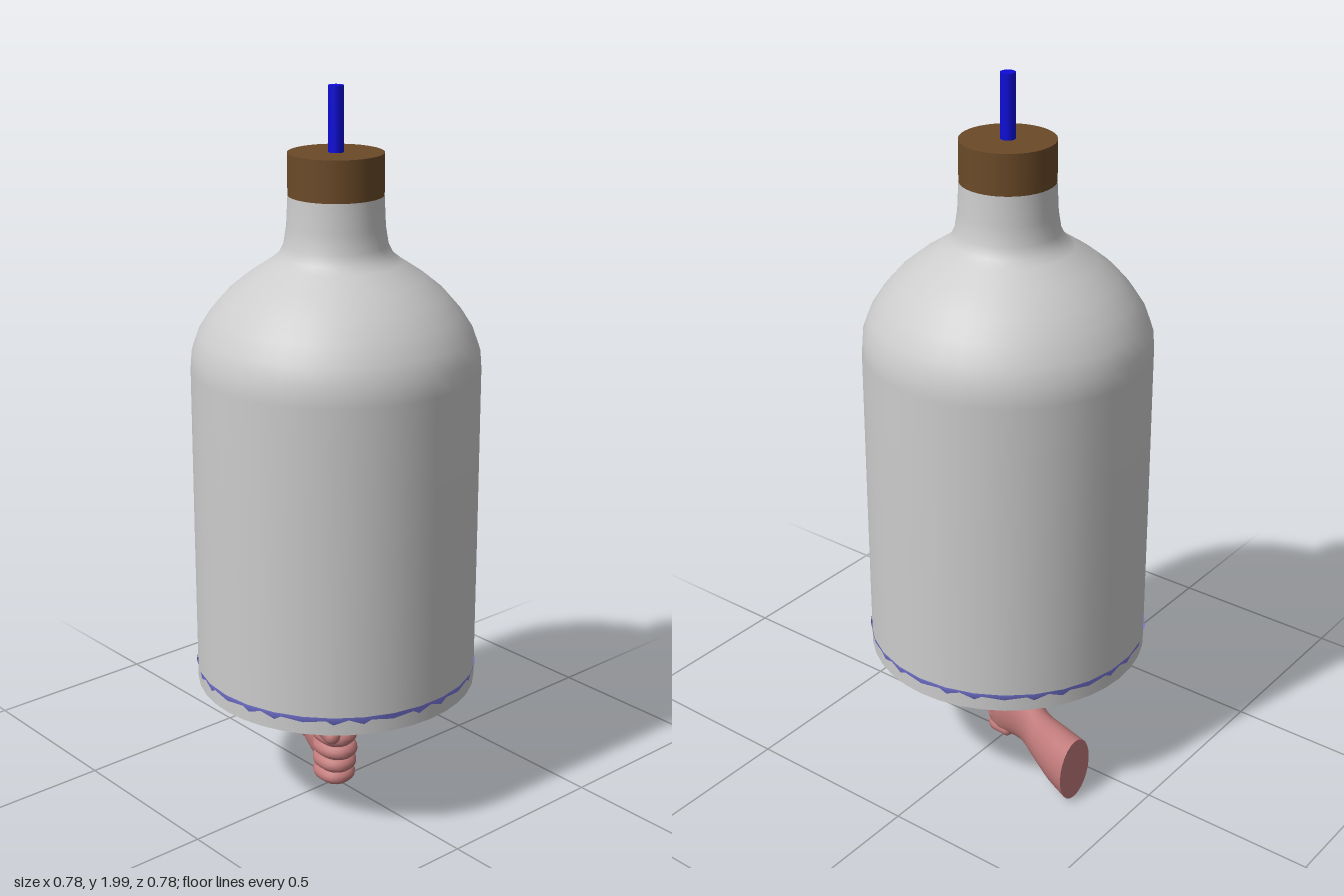
import * as THREE from 'three';

const material = (color, side = THREE.FrontSide) => new THREE.MeshStandardMaterial({ color, side });
const vec = (p) => new THREE.Vector3(...p);

function addMesh(parent, name, geometry, mat, x = 0, y = 0, z = 0) {
  const mesh = new THREE.Mesh(geometry, mat);
  mesh.name = name;
  mesh.position.set(x, y, z);
  parent.add(mesh);
  return mesh;
}

const lathe = (points, segments) =>
  new THREE.LatheGeometry(points.map(([r, y]) => new THREE.Vector2(r, y)), segments);

// Smooth skin through elliptical sections [x, y, z, halfHeight, halfDepth] along x
function loftAlongX(sections, steps, sides) {
  const centres = new THREE.CatmullRomCurve3(sections.map((s) => vec(s.slice(0, 3))));
  const sizes = new THREE.CatmullRomCurve3(sections.map((s) => new THREE.Vector3(s[3], s[4], 0)));
  const positions = [], index = [];
  for (let i = 0; i <= steps; i++) {
    const c = centres.getPoint(i / steps), h = sizes.getPoint(i / steps);
    for (let j = 0; j < sides; j++) {
      const a = (j / sides) * Math.PI * 2;
      positions.push(c.x, c.y + h.x * Math.cos(a), c.z + h.y * Math.sin(a));
      if (i < steps) {
        const k = (j + 1) % sides;
        const p = i * sides + j, q = i * sides + k;
        index.push(p, q, p + sides, q, q + sides, p + sides);
      }
    }
  }
  const geometry = new THREE.BufferGeometry();
  geometry.setAttribute('position', new THREE.Float32BufferAttribute(positions, 3));
  geometry.setIndex(index);
  geometry.computeVertexNormals();
  return geometry;
}

// Round-ended finger following a curve
function addDigit(parent, name, points, radius, mat) {
  const digit = new THREE.Group();
  digit.name = name;
  const curve = new THREE.CatmullRomCurve3(points.map(vec));
  addMesh(digit, name + 'Length', new THREE.TubeGeometry(curve, 20, radius, 12), mat);
  for (const t of [0, 1]) {
    const p = curve.getPoint(t);
    addMesh(digit, name + (t ? 'Tip' : 'Knuckle'), new THREE.SphereGeometry(radius, 14, 10), mat, p.x, p.y, p.z);
  }
  parent.add(digit);
}

export function createModel() {
  const model = new THREE.Group();
  const glass = material(0xcccccc, THREE.DoubleSide);
  const cork = material(0x6b4a28);
  const blue = material(0x0d0dd8);
  const rubber = material(0x8080e8, THREE.DoubleSide);
  const skin = material(0xc07a7a);

  // Open-bottomed bottle with rounded shoulder and narrow neck
  addMesh(model, 'bottle', lathe([
    [0.388, 0.36], [0.388, 0.8], [0.387, 1.26], [0.383, 1.31], [0.365, 1.36], [0.333, 1.41],
    [0.29, 1.46], [0.235, 1.505], [0.175, 1.545], [0.152, 1.563], [0.138, 1.59], [0.13, 1.64],
    [0.126, 1.72],
  ], 40), glass);

  // Stopper and the tube through it
  addMesh(model, 'stopper', new THREE.CylinderGeometry(0.126, 0.126, 0.128, 40), cork, 0, 1.766);
  addMesh(model, 'tube', new THREE.CylinderGeometry(0.02, 0.02, 0.5, 20), blue, 0, 1.75);

  // Stretched membrane closing the bottom, with its pull stem
  addMesh(model, 'membrane', lathe([
    [0.001, 0.276], [0.06, 0.279], [0.15, 0.29], [0.24, 0.309], [0.31, 0.332],
    [0.36, 0.358], [0.386, 0.385], [0.392, 0.412],
  ], 30), rubber);
  addMesh(model, 'pullStem', new THREE.CylinderGeometry(0.019, 0.016, 0.23, 16), rubber, 0, 0.165);

  // Forearm running into the palm
  const hand = new THREE.Group();
  hand.name = 'hand';
  model.add(hand);
  addMesh(hand, 'forearmAndPalm', loftAlongX([
    [-0.335, 0.105, -0.132, 0.094, 0.069],
    [-0.26, 0.11, -0.108, 0.085, 0.066],
    [-0.175, 0.114, -0.072, 0.07, 0.057],
    [-0.11, 0.119, -0.037, 0.077, 0.052],
    [-0.05, 0.118, -0.018, 0.087, 0.047],
    [0.0, 0.11, -0.022, 0.083, 0.036],
    [0.035, 0.108, -0.022, 0.07, 0.022],
    [0.046, 0.108, -0.022, 0.002, 0.002],
  ], 36, 24), skin);
  const cut = addMesh(hand, 'forearmEnd', new THREE.CircleGeometry(1, 24), skin, -0.335, 0.105, -0.132);
  cut.rotation.y = -Math.PI / 2;
  cut.scale.set(0.069, 0.094, 1);

  // Four fingers wrapped around the stem
  [0.166, 0.124, 0.082, 0.043].forEach((y, i) => {
    const reach = 0.047 - Math.abs(i - 1) * 0.004;
    addDigit(hand, 'finger' + (i + 1), [
      [-0.02, y, -0.03], [reach - 0.012, y, -0.024], [reach, y - 0.002, 0.008],
      [0.025, y - 0.003, 0.033], [-0.025, y - 0.001, 0.036], [-0.045, y, 0.022],
    ], 0.0225 - i * 0.0008, skin);
  });

  // Thumb folded over the top
  addDigit(hand, 'thumb', [
    [-0.115, 0.145, -0.01], [-0.075, 0.184, 0.025], [-0.02, 0.203, 0.052], [0.018, 0.203, 0.061], [0.046, 0.188, 0.055],
  ], 0.024, skin);

  return model;
}
